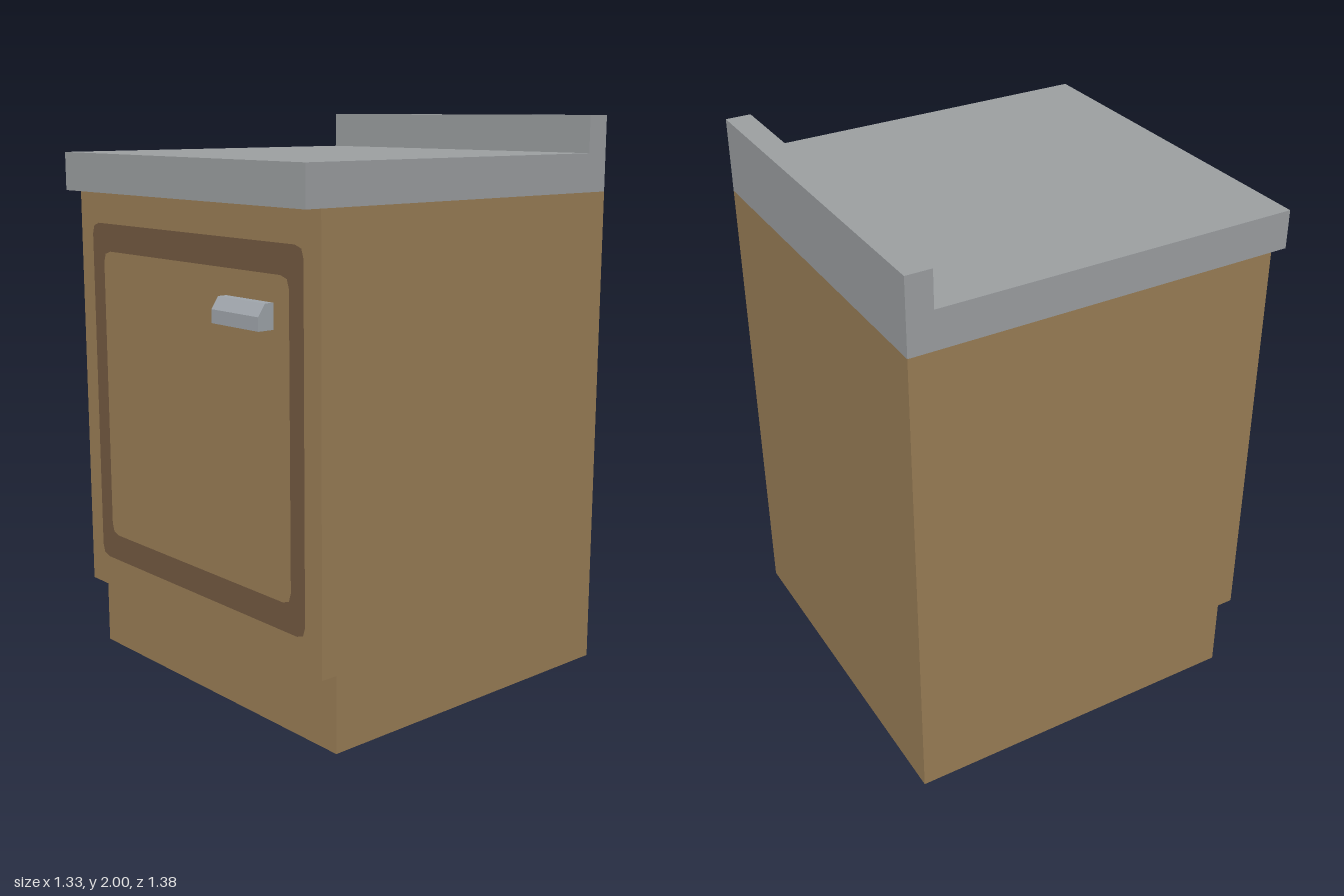
import * as THREE from 'three';

const WIDTH = 1.33;

export function createModel() {
  const material = (name, color) => {
    const m = new THREE.MeshStandardMaterial({ color });
    m.name = name;
    return m;
  };
  const wood = material('wood', 0x9a7e56);
  const darkWood = material('dark wood', 0x735941);
  const stone = material('grey worktop', 0x9c9fa1);
  const metal = material('handle metal', 0xa0a6ac);

  const group = new THREE.Group();
  group.name = 'kitchenCabinet';

  // Extrudes a side profile of [z, y] points across x, centred on centreX
  const addProfile = (name, points, width, centreX, mat) => {
    const shape = new THREE.Shape(points.map(([z, y]) => new THREE.Vector2(z, y)));
    const geometry = new THREE.ExtrudeGeometry(shape, { depth: width, bevelEnabled: false });
    geometry.translate(0, 0, -width / 2).rotateY(-Math.PI / 2);
    const mesh = new THREE.Mesh(geometry, mat);
    mesh.name = name;
    mesh.position.x = centreX;
    group.add(mesh);
  };

  // Body with recessed toe kick
  addProfile('body', [
    [-0.69, 0], [0.57, 0], [0.57, 0.265], [0.63, 0.265], [0.63, 1.735], [-0.69, 1.735],
  ], WIDTH, 0, wood);

  // Worktop with raised back edge
  addProfile('worktop', [
    [-0.69, 1.735], [0.69, 1.735], [0.69, 1.87], [-0.6, 1.87], [-0.6, 2], [-0.69, 2],
  ], WIDTH, 0, stone);

  // Door handle with a chamfered upper front edge
  addProfile('handle', [
    [0.63, 1.35], [0.69, 1.35], [0.69, 1.395], [0.663, 1.435], [0.63, 1.435],
  ], 0.24, 0.318, metal);

  // Traces a rectangle with softened corners, centred on x = 0
  const softRect = (path, halfW, y0, y1, r) => {
    path.moveTo(-halfW + r, y0);
    path.lineTo(halfW - r, y0);
    path.quadraticCurveTo(halfW, y0, halfW, y0 + r);
    path.lineTo(halfW, y1 - r);
    path.quadraticCurveTo(halfW, y1, halfW - r, y1);
    path.lineTo(-halfW + r, y1);
    path.quadraticCurveTo(-halfW, y1, -halfW, y1 - r);
    path.lineTo(-halfW, y0 + r);
    path.quadraticCurveTo(-halfW, y0, -halfW + r, y0);
    return path;
  };

  // Dark inlaid frame on the door
  const frame = softRect(new THREE.Shape(), 0.587, 0.378, 1.622, 0.04);
  frame.holes.push(softRect(new THREE.Path(), 0.518, 0.474, 1.524, 0.04));
  const doorFrame = new THREE.Mesh(new THREE.ShapeGeometry(frame, 2), darkWood);
  doorFrame.name = 'doorFrame';
  doorFrame.position.z = 0.633;
  group.add(doorFrame);

  return group;
}
